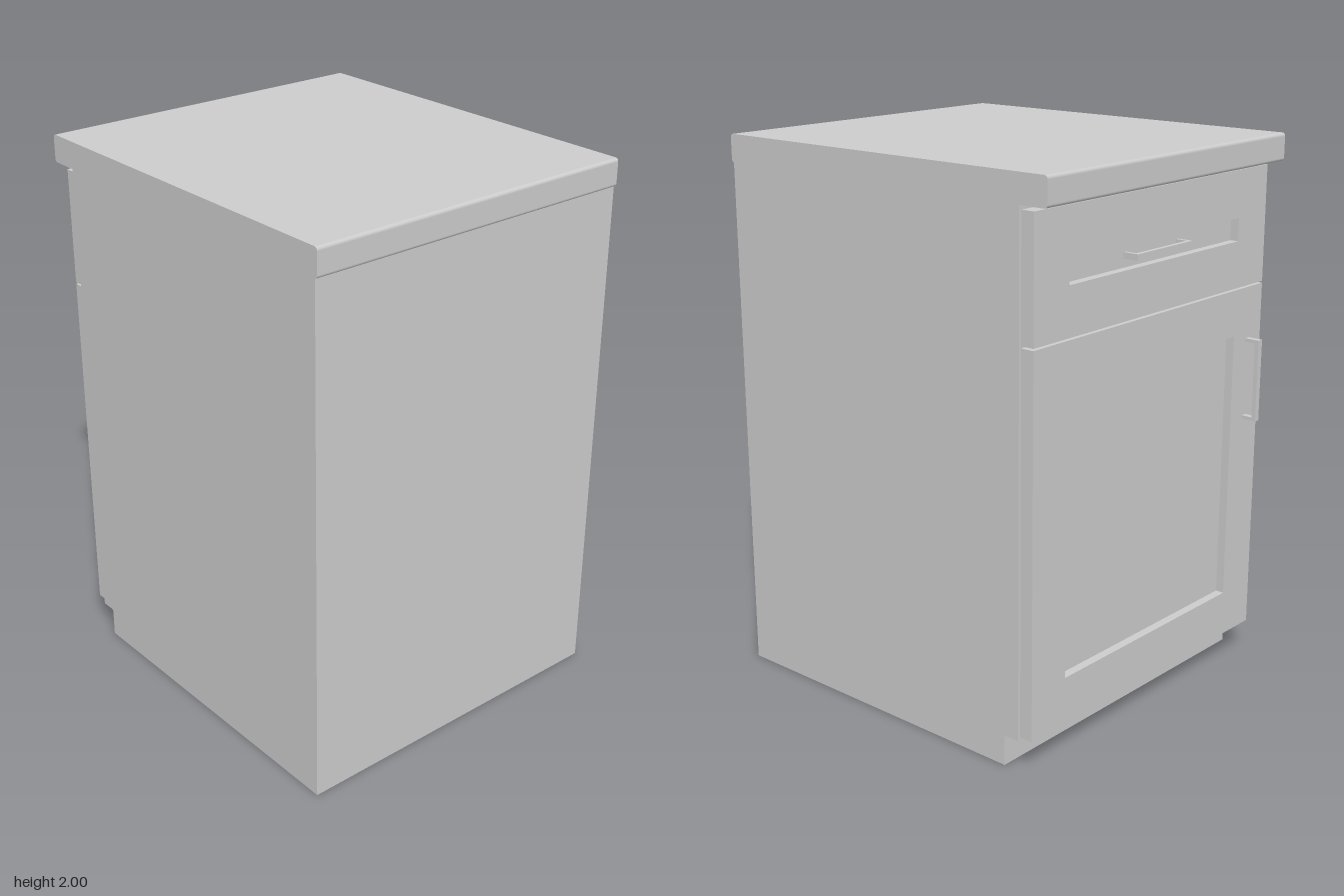
import * as THREE from 'three';

const material = new THREE.MeshStandardMaterial({ color: 0xcccccc, flatShading: true });
const WIDTH = 1.3; // cabinet width along z; the doors face -x

function addMesh(parent, name, geometry, x = 0, y = 0, z = 0) {
  const mesh = new THREE.Mesh(geometry, material);
  mesh.name = name;
  mesh.position.set(x, y, z);
  parent.add(mesh);
  return mesh;
}

// Profile drawn in x/y, extruded across the whole cabinet width
function extrudeAcross(shape) {
  return new THREE.ExtrudeGeometry(shape, { depth: WIDTH, bevelEnabled: false, curveSegments: 4 })
    .translate(0, 0, -WIDTH / 2);
}

function roundedRect(x0, y0, x1, y1, r) {
  const s = new THREE.Shape();
  s.absarc(x1 - r, y0 + r, r, -Math.PI / 2, 0);
  s.absarc(x1 - r, y1 - r, r, 0, Math.PI / 2);
  s.absarc(x0 + r, y1 - r, r, Math.PI / 2, Math.PI);
  s.absarc(x0 + r, y0 + r, r, Math.PI, Math.PI * 1.5);
  s.closePath();
  return s;
}

function rectPoints(hw, hh) {
  return [[-hw, -hh], [hw, -hh], [hw, hh], [-hw, hh]].map(([x, y]) => new THREE.Vector2(x, y));
}

// Frame with a recessed centre panel, facing -x
function framedFront(name, y0, y1) {
  const group = new THREE.Group();
  group.name = name;
  const hw = 0.64, hh = (y1 - y0) / 2, rail = 0.17;
  const shape = new THREE.Shape(rectPoints(hw, hh));
  shape.holes.push(new THREE.Path(rectPoints(hw - rail, hh - rail).reverse()));
  const frame = new THREE.ExtrudeGeometry(shape, { depth: 0.05, bevelEnabled: false }).rotateY(-Math.PI / 2);
  addMesh(group, name + 'Frame', frame);
  addMesh(group, name + 'Panel', new THREE.BoxGeometry(0.018, 2 * (hh - rail), 2 * (hw - rail)), -0.009);
  group.position.set(-0.615, (y0 + y1) / 2, 0);
  return group;
}

// Upright bar pull on two posts, standing out towards -x from its origin
function barHandle(name) {
  const group = new THREE.Group();
  group.name = name;
  const length = 0.305, reach = 0.058, bar = 0.016, post = 0.013, width = 0.022;
  addMesh(group, 'handleBar', new THREE.BoxGeometry(bar, length, width), -reach + bar / 2);
  for (const side of [-1, 1]) {
    addMesh(group, 'handlePost', new THREE.BoxGeometry(reach - bar, post, width),
      -(reach - bar) / 2, side * (length - post) / 2);
  }
  return group;
}

export function createModel() {
  const model = new THREE.Group();
  model.name = 'baseCabinet';

  // Carcass with toe kick
  const side = new THREE.Shape([
    [-0.555, 0], [0.71, 0], [0.71, 1.9], [-0.615, 1.9], [-0.615, 0.11], [-0.555, 0.11],
  ].map(([x, y]) => new THREE.Vector2(x, y)));
  addMesh(model, 'carcass', extrudeAcross(side));

  // Countertop with softened long edges
  addMesh(model, 'countertop', extrudeAcross(roundedRect(-0.725, 1.9, 0.72, 2, 0.012)));

  // Door and drawer fronts
  model.add(framedFront('door', 0.12, 1.455), framedFront('drawer', 1.462, 1.885));

  // Upright pull on the door stile, level pull inside the drawer recess
  const doorHandle = barHandle('doorHandle');
  doorHandle.position.set(-0.665, 1.113, 0.555);
  const drawerHandle = barHandle('drawerHandle');
  drawerHandle.rotation.x = Math.PI / 2;
  drawerHandle.position.set(-0.633, 1.673, 0);
  model.add(doorHandle, drawerHandle);

  return model;
}
